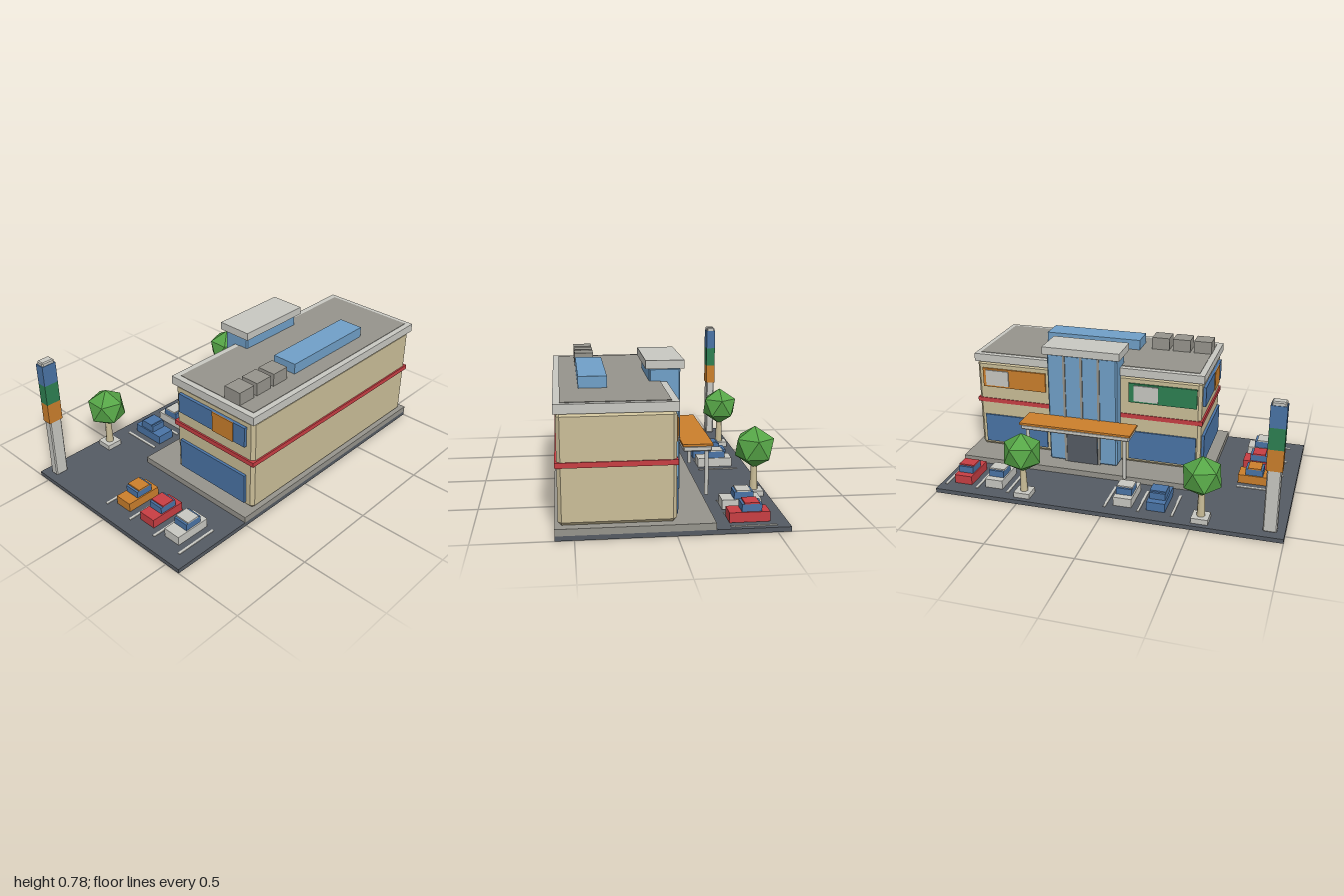
import * as THREE from 'three';
import { ConvexGeometry } from 'three/addons/geometries/ConvexGeometry.js';

const mat = (name, color) => {
  const m = new THREE.MeshStandardMaterial({ color });
  m.name = name;
  return m;
};

export function createModel() {
  const asphalt = mat('asphalt', 0x555b63);
  const concrete = mat('concrete', 0x96948c);
  const pale = mat('paleGrey', 0xc8c8c2);
  const beige = mat('beige', 0xcbbe98);
  const red = mat('red', 0xc83e43);
  const orange = mat('orange', 0xcb7f2c);
  const blue = mat('blue', 0x4a74a6);
  const glass = mat('glass', 0x70a0c8);
  const green = mat('green', 0x2e8052);
  const leaf = mat('leaf', 0x56a647);

  const model = new THREE.Group();
  model.name = 'officeBuilding';

  const add = (parent, name, geometry, material) => {
    const mesh = new THREE.Mesh(geometry, material);
    mesh.name = name;
    parent.add(mesh);
    return mesh;
  };
  const group = (name) => {
    const g = new THREE.Group();
    g.name = name;
    model.add(g);
    return g;
  };
  // Box given by its [min, max] range on each axis
  const box = (parent, name, material, [x0, x1], [y0, y1], [z0, z1]) =>
    add(parent, name, new THREE.BoxGeometry(x1 - x0, y1 - y0, z1 - z0), material)
      .position.set((x0 + x1) / 2, (y0 + y1) / 2, (z0 + z1) / 2);
  // The same with every edge chamfered by c
  const chamferBox = (parent, name, material, xr, yr, zr, c) => {
    const points = [];
    const ranges = [xr, yr, zr];
    for (let i = 0; i < 8; i++) {
      for (let full = 0; full < 3; full++) {
        points.push(new THREE.Vector3(...ranges.map((r, k) => {
          const hi = (i >> k) & 1;
          return r[hi] + (k === full ? 0 : hi ? -c : c);
        })));
      }
    }
    add(parent, name, new ConvexGeometry(points), material);
  };

  // Site
  box(model, 'ground', asphalt, [-1, 1], [0, 0.025], [-0.571, 0.595]);
  box(model, 'plinth', concrete, [-0.51, 1], [0.025, 0.06], [-0.193, 0.595]);

  // Main block
  const main = group('mainBlock');
  chamferBox(main, 'walls', beige, [-0.435, 0.963], [0.06, 0.62], [-0.003, 0.578], 0.018);
  box(main, 'wallBand', red, [-0.445, 0.97], [0.353, 0.38], [-0.008, 0.587]);
  box(main, 'roofSlab', pale, [-0.45, 0.973], [0.618, 0.666], [-0.012, 0.59]);
  box(main, 'roofDeck', concrete, [-0.415, 0.943], [0.66, 0.669], [0.023, 0.557]);
  box(main, 'skylight', glass, [0.02, 0.62], [0.667, 0.73], [0.313, 0.461]);
  for (const x of [-0.417, -0.286, -0.155]) {
    box(main, 'roofUnit', concrete, [x, x + 0.108], [0.667, 0.743], [0.355, 0.463]);
  }

  // Windows and panels on the entrance face and the side face
  const windows = group('windows');
  const low = [0.09, 0.27];
  const high = [0.458, 0.577];
  box(windows, 'lowerWindow', blue, [-0.41, 0], low, [-0.013, -0.002]);
  box(windows, 'lowerWindow', blue, [0.52, 0.925], low, [-0.013, -0.002]);
  box(windows, 'greenPanel', green, [-0.41, 0], high, [-0.013, -0.002]);
  box(windows, 'orangePanel', orange, [0.52, 0.925], high, [-0.013, -0.002]);
  for (const x of [-0.18, 0.757]) {
    box(windows, 'palePanel', pale, [x, x + 0.147], [0.47, 0.567], [-0.02, -0.012]);
  }
  box(windows, 'sideLowerWindow', blue, [-0.451, -0.434], low, [0.04, 0.53]);
  box(windows, 'sideUpperWindow', blue, [-0.453, -0.434], high, [0.04, 0.53]);
  box(windows, 'sideOrangePanel', orange, [-0.458, -0.452], high, [0.3, 0.45]);

  // Glass entrance tower
  const tower = group('entranceTower');
  chamferBox(tower, 'towerGlass', glass, [0.05, 0.475], [0.06, 0.738], [-0.085, 0.082], 0.008);
  box(tower, 'towerCap', pale, [0.028, 0.497], [0.738, 0.783], [-0.103, 0.103]);
  for (const x of [0.16, 0.265, 0.37]) {
    box(tower, 'mullion', concrete, [x - 0.007, x + 0.007], [0.06, 0.738], [-0.092, -0.084]);
  }
  box(tower, 'door', asphalt, [0.17, 0.36], [0.06, 0.24], [-0.096, -0.084]);

  // Canopy
  const canopy = group('canopy');
  box(canopy, 'canopyTop', orange, [-0.075, 0.6], [0.338, 0.35], [-0.246, -0.083]);
  chamferBox(canopy, 'canopySlab', pale, [-0.068, 0.593], [0.308, 0.338], [-0.241, -0.087], 0.006);
  for (const x of [-0.035, 0.56]) {
    add(canopy, 'canopyPost', new THREE.CylinderGeometry(0.011, 0.011, 0.25, 10), pale)
      .position.set(x, 0.185, -0.217);
  }

  // Sign pylon
  const pylon = group('pylon');
  chamferBox(pylon, 'pylonPost', pale, [-0.958, -0.882], [0.025, 0.771], [-0.52, -0.469], 0.006);
  [orange, green, blue].forEach((m, i) => {
    const y = 0.387 + i * 0.121;
    box(pylon, 'pylonBand', m, [-0.963, -0.877], [y, y + 0.121], [-0.523, -0.466]);
  });

  // Trees with a faceted crown, one point upward
  const crown = new THREE.IcosahedronGeometry(0.118, 0);
  crown.rotateX(-Math.atan((1 + Math.sqrt(5)) / 2)).rotateY(Math.PI / 2);
  crown.computeVertexNormals();
  const trunk = new THREE.CylinderGeometry(0.017, 0.024, 0.17, 8);
  for (const x of [-0.545, 0.48]) {
    const tree = group('tree');
    tree.position.set(x, 0, -0.495);
    box(tree, 'planter', pale, [-0.047, 0.047], [0.025, 0.055], [-0.047, 0.047]);
    add(tree, 'trunk', trunk, beige).position.y = 0.115;
    add(tree, 'crown', crown, leaf).position.y = 0.293;
  }

  // Cars, built along x
  const car = (x, z, paint, turn) => {
    const c = group('car');
    box(c, 'carBody', paint, [-0.104, 0.104], [0.028, 0.08], [-0.053, 0.053]);
    box(c, 'carCabin', blue, [-0.039, 0.063], [0.08, 0.119], [-0.045, 0.045]);
    box(c, 'carRoof', paint, [-0.026, 0.05], [0.119, 0.127], [-0.046, 0.046]);
    c.position.set(x, 0, z);
    c.rotation.y = turn;
  };
  [orange, red, pale].forEach((m, i) => car(-0.775, 0.03 + i * 0.193, m, 0));
  [[-0.288, blue], [-0.097, pale], [0.675, pale], [0.868, red]]
    .forEach(([x, m]) => car(x, -0.376, m, Math.PI / 2));

  // Parking bay lines
  const lines = group('parkingLines');
  const lineY = [0.024, 0.029];
  for (const z of [-0.066, 0.127, 0.32, 0.513]) {
    box(lines, 'sideLine', pale, [-0.92, -0.672], lineY, [z - 0.007, z + 0.007]);
  }
  for (const x of [-0.385, -0.193, 0, 0.582, 0.774, 0.966]) {
    box(lines, 'backLine', pale, [x - 0.007, x + 0.007], lineY, [-0.505, -0.27]);
  }
  return model;
}
